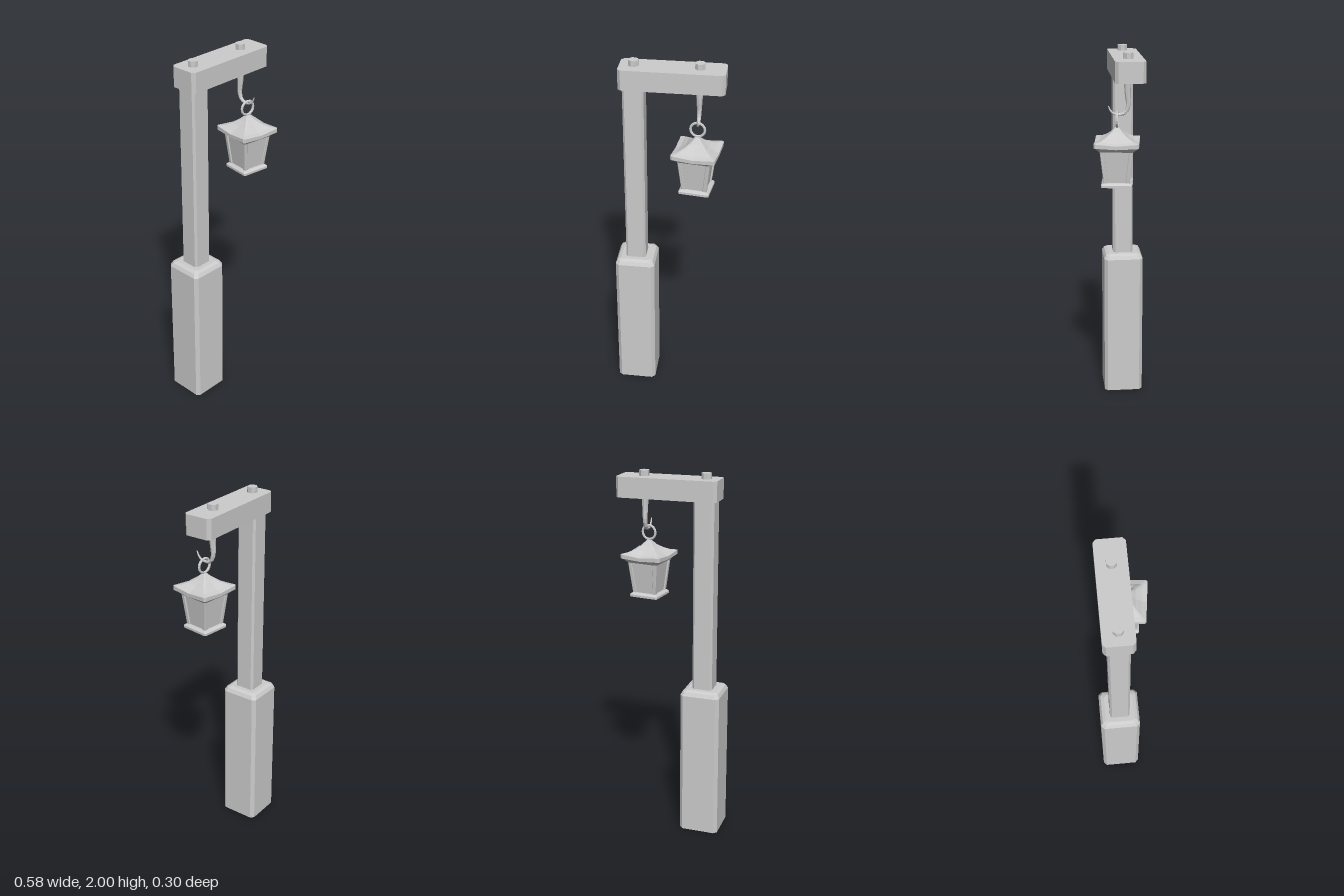
import * as THREE from 'three';

const grey = new THREE.MeshStandardMaterial({ color: 0xcccccc, flatShading: true });
const greyOpen = new THREE.MeshStandardMaterial({ color: 0xcccccc, flatShading: true, side: THREE.DoubleSide });

// Corner-cut rectangle, 12 points; lift raises the corners above the side middles
function section({ y, hx, hz = hx, c = 0.01, x = 0, z = 0, lift = 0 }) {
  const pts = [];
  const side = (a, b, h0, h1, flip) => {
    // one side's middle followed by the two points of its cut corner
    const corner = [[h0, h1 - c], [h0 - c, h1]];
    pts.push([a * h0, 0, 0, flip]);
    for (const [p, q] of corner) pts.push([a * p, b * q, lift, flip]);
  };
  side(1, 1, hx, hz, false);
  side(1, -1, hz, hx, true);
  side(-1, -1, hx, hz, false);
  side(-1, 1, hz, hx, true);
  return pts.map(([p, q, l, flip]) => (flip ? [x + q, y + l, z + p] : [x + p, y + l, z + q]));
}

// Skin stacked sections from bottom to top, with optional end caps
function loft(name, rings, { bottom = true, top = true } = {}) {
  const loops = rings.map(section);
  const n = loops[0].length;
  const pos = [];
  const tri = (a, b, c) => pos.push(...a, ...b, ...c);
  for (let r = 0; r < loops.length - 1; r++) {
    for (let i = 0; i < n; i++) {
      const j = (i + 1) % n, lo = loops[r], hi = loops[r + 1];
      tri(lo[i], hi[i], lo[j]);
      tri(lo[j], hi[i], hi[j]);
    }
  }
  const cap = (loop, ring, up) => {
    const mid = [ring.x || 0, ring.y, ring.z || 0];
    loop.forEach((p, i) => {
      const q = loop[(i + 1) % n];
      if (up) tri(mid, q, p); else tri(mid, p, q);
    });
  };
  if (bottom) cap(loops[0], rings[0], false);
  if (top) cap(loops[loops.length - 1], rings[rings.length - 1], true);
  const geo = new THREE.BufferGeometry();
  geo.setAttribute('position', new THREE.Float32BufferAttribute(pos, 3));
  geo.computeVertexNormals();
  const mesh = new THREE.Mesh(geo, bottom ? grey : greyOpen);
  mesh.name = name;
  return mesh;
}

// Tapered hook curling toward the front
function makeHook() {
  const path = new THREE.CatmullRomCurve3([
    [-0.033, 1.87], [-0.033, 1.8], [-0.036, 1.73], [-0.022, 1.695],
    [0.005, 1.684], [0.04, 1.69], [0.057, 1.708], [0.066, 1.73],
  ].map(([z, y]) => new THREE.Vector3(0, y, z)));
  const steps = 14, sides = 8;
  const geo = new THREE.TubeGeometry(path, steps, 1, sides);
  const pos = geo.attributes.position, v = new THREE.Vector3();
  for (let i = 0; i < pos.count; i++) {
    const t = Math.floor(i / (sides + 1)) / steps;
    const centre = path.getPointAt(t);
    v.fromBufferAttribute(pos, i).sub(centre).multiplyScalar(0.02 - 0.017 * t).add(centre);
    pos.setXYZ(i, v.x, v.y, v.z);
  }
  geo.computeVertexNormals();
  const hook = new THREE.Mesh(geo, greyOpen);
  hook.name = 'hook';
  hook.position.x = 0.155;
  return hook;
}

function makeLantern() {
  const lantern = new THREE.Group();
  lantern.name = 'lantern';

  const ring = new THREE.Mesh(new THREE.TorusGeometry(0.038, 0.007, 6, 16), grey);
  ring.name = 'hangingRing';
  ring.position.y = 1.66;
  lantern.add(ring);

  // Sweeping roof with raised corners and a bevelled eave
  lantern.add(loft('roof', [
    { y: 1.505, hx: 0.088, c: 0.008 },
    { y: 1.522, hx: 0.108, c: 0.008, lift: 0.004 },
    { y: 1.524, hx: 0.116, c: 0.008, lift: 0.006 },
    { y: 1.542, hx: 0.116, c: 0.008, lift: 0.01 },
    { y: 1.55, hx: 0.09, c: 0.008, lift: 0.007 },
    { y: 1.569, hx: 0.06, c: 0.007, lift: 0.003 },
    { y: 1.592, hx: 0.034, c: 0.006 },
    { y: 1.62, hx: 0.009, c: 0.004 },
  ]));

  lantern.add(loft('panes', [
    { y: 1.33, hx: 0.06, c: 0.004 },
    { y: 1.515, hx: 0.079, c: 0.004 },
  ]));

  // Leaning corner posts
  for (const sx of [-1, 1]) for (const sz of [-1, 1]) {
    lantern.add(loft('cornerPost', [
      { y: 1.33, hx: 0.011, c: 0.003, x: sx * 0.056, z: sz * 0.056 },
      { y: 1.515, hx: 0.011, c: 0.003, x: sx * 0.076, z: sz * 0.076 },
    ]));
  }

  lantern.add(loft('floorPlate', [
    { y: 1.315, hx: 0.081, c: 0.006 },
    { y: 1.327, hx: 0.081, c: 0.006 },
    { y: 1.338, hx: 0.068, c: 0.005 },
  ]));

  lantern.position.set(0.154, 0, 0.021);
  lantern.rotation.y = -0.13;
  return lantern;
}

export function createModel() {
  const model = new THREE.Group();
  model.name = 'lampPost';
  const x = -0.18, z = -0.037;

  // Thick base, open underneath
  model.add(loft('base', [
    { x, z, y: 0, hx: 0.109, c: 0.018 },
    { x, z, y: 0.812, hx: 0.109, c: 0.018 },
    { x, z, y: 0.832, hx: 0.098, c: 0.016 },
    { x, z, y: 0.84, hx: 0.08, c: 0.012 },
  ], { bottom: false }));

  model.add(loft('post', [
    { x, z, y: 0.82, hx: 0.055, c: 0.011 },
    { x, z, y: 1.88, hx: 0.055, c: 0.011 },
  ]));

  // Cross beam, open underneath
  model.add(loft('beam', [
    { x: 0.018, z, y: 1.862, hx: 0.271, hz: 0.078, c: 0.016 },
    { x: 0.018, z, y: 1.97, hx: 0.271, hz: 0.078, c: 0.016 },
  ], { bottom: false }));

  // Octagonal pegs through the beam
  for (const px of [x, 0.156]) {
    const peg = new THREE.Mesh(new THREE.CylinderGeometry(0.027, 0.027, 0.05, 8), grey);
    peg.name = 'peg';
    peg.position.set(px, 1.975, z);
    peg.rotation.y = Math.PI / 8;
    model.add(peg);
  }

  model.add(makeHook(), makeLantern());
  return model;
}
